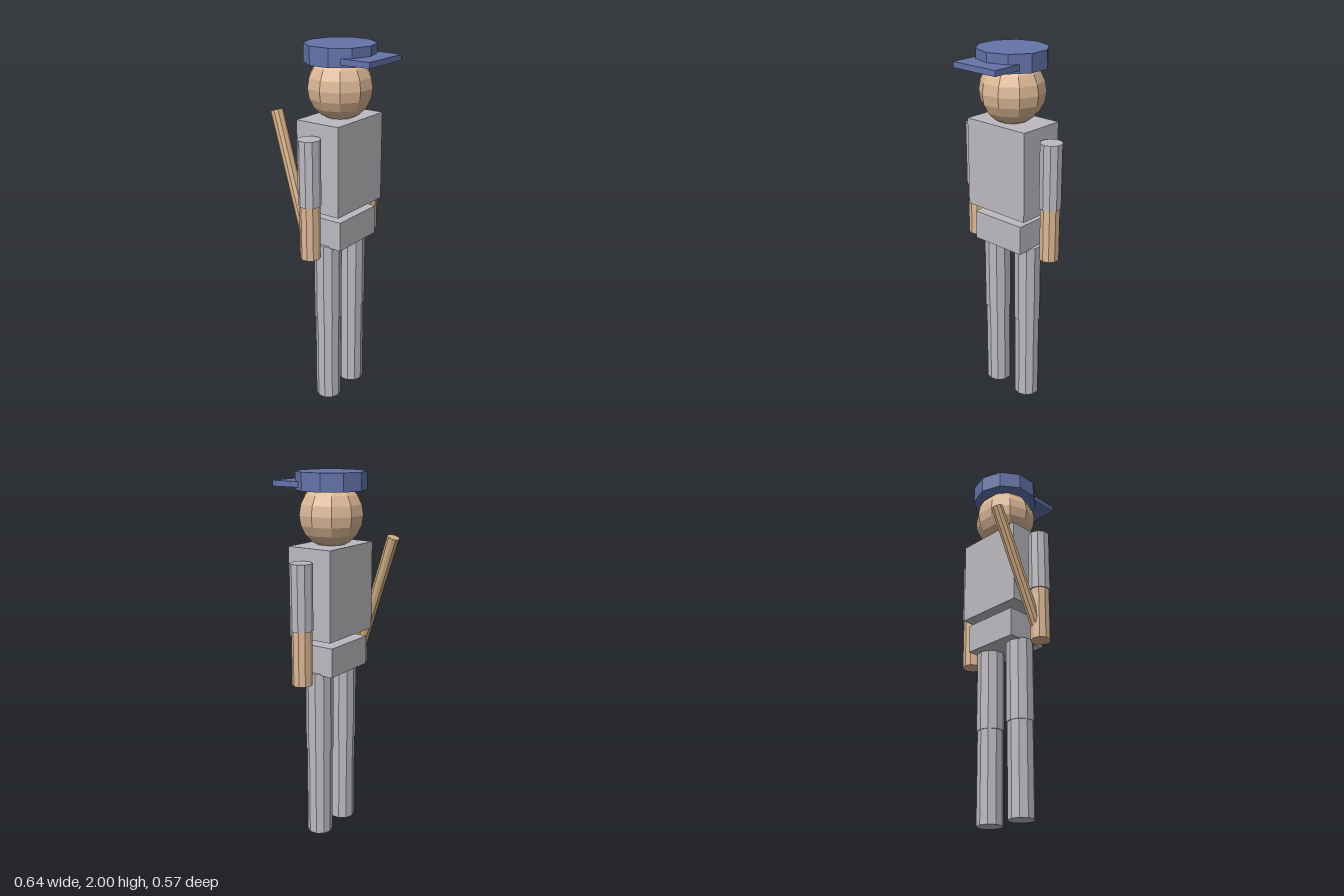
import * as THREE from 'three';

const mat = (name, color) => {
  const m = new THREE.MeshStandardMaterial({ color, flatShading: true });
  m.name = name;
  return m;
};

export function createModel() {
  const cloth = mat('grey cloth', 0xbcbac0);
  const skin = mat('skin', 0xdcb896);
  const wood = mat('wood', 0xd2ae84);
  const blue = mat('cap blue', 0x6473aa);

  const SIDES = 10;
  const model = new THREE.Group();
  model.name = 'ballPlayer';

  // body is shifted slightly forward so the whole model is centred on z
  const body = new THREE.Group();
  body.name = 'body';
  body.position.z = 0.009;
  model.add(body);

  const add = (name, geo, material, x, y, z) => {
    const mesh = new THREE.Mesh(geo, material);
    mesh.name = name;
    mesh.position.set(x, y, z);
    body.add(mesh);
    return mesh;
  };
  const box = (name, m, w, y0, y1, d, z = 0) =>
    add(name, new THREE.BoxGeometry(w, y1 - y0, d), m, 0, (y0 + y1) / 2, z);
  const post = (name, m, r, y0, y1, x = 0) =>
    add(name, new THREE.CylinderGeometry(r, r, y1 - y0, SIDES), m, x, (y0 + y1) / 2, 0);

  // trunk
  box('torso', cloth, 0.394, 1.145, 1.625, 0.263);
  box('hips', cloth, 0.326, 0.945, 1.105, 0.24);

  // head and cap
  add('head', new THREE.SphereGeometry(0.174, SIDES, 10), skin, 0, 1.78, 0);
  post('capCrown', blue, 0.187, 1.905, 2.0);
  box('capBrim', blue, 0.284, 1.92, 1.95, 0.19, 0.18);

  // limbs, mirrored
  for (const [side, s] of [['left', 1], ['right', -1]]) {
    post(side + 'UpperArm', cloth, 0.06, 1.21, 1.56, s * 0.263);
    post(side + 'Forearm', skin, 0.054, 0.915, 1.21, s * 0.263);
    post(side + 'Thigh', cloth, 0.075, 0.5, 0.953, s * 0.111);
    post(side + 'Shin', cloth, 0.07, 0, 0.5, s * 0.111);
  }

  // bat held in the right hand, leaning backward
  const grip = new THREE.Vector3(-0.255, 1.0, -0.024);
  const tip = new THREE.Vector3(-0.198, 1.658, -0.262);
  const axis = tip.clone().sub(grip);
  const bat = add('bat', new THREE.CylinderGeometry(0.034, 0.032, axis.length(), SIDES), wood, 0, 0, 0);
  bat.position.copy(grip).add(tip).multiplyScalar(0.5);
  bat.quaternion.setFromUnitVectors(new THREE.Vector3(0, 1, 0), axis.normalize());

  return model;
}
